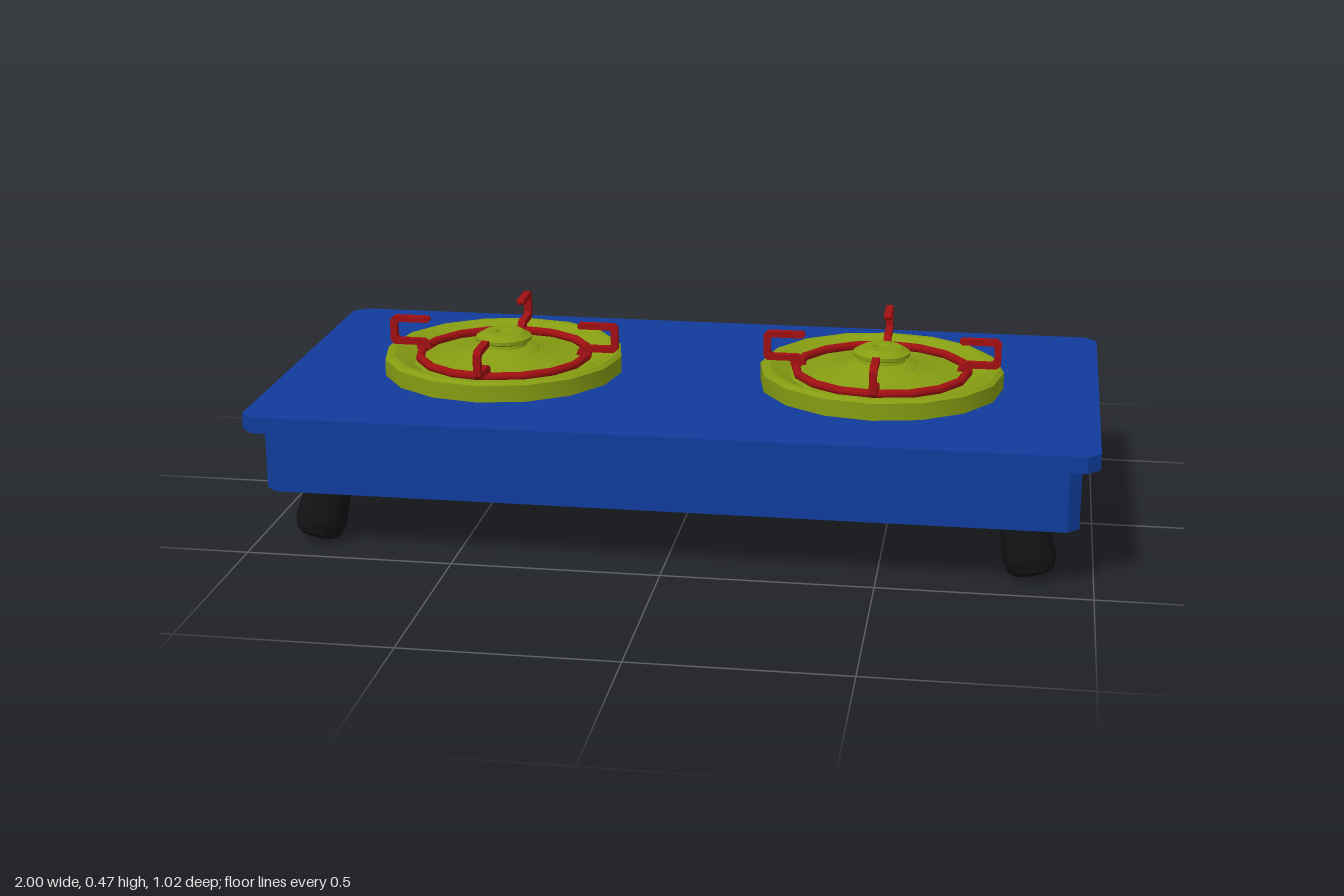
import * as THREE from 'three';
import { toCreasedNormals } from 'three/addons/utils/BufferGeometryUtils.js';

const paint = (color) => new THREE.MeshStandardMaterial({ color, side: THREE.DoubleSide });
const blue = paint(0x113c9c);
const green = paint(0x869c12);
const red = paint(0xa01012);
const magenta = paint(0xa81066);
const black = paint(0x111214);

function part(name, geometry, material) {
  const mesh = new THREE.Mesh(geometry, material);
  mesh.name = name;
  return mesh;
}

// Flat slab with cut corners, between heights y0 and y1
function slab(halfX, halfZ, cut, y0, y1) {
  const shape = new THREE.Shape([
    [halfX - cut, -halfZ], [halfX, -halfZ + cut], [halfX, halfZ - cut], [halfX - cut, halfZ],
    [-halfX + cut, halfZ], [-halfX, halfZ - cut], [-halfX, -halfZ + cut], [-halfX + cut, -halfZ],
  ].map(([x, y]) => new THREE.Vector2(x, y)));
  return new THREE.ExtrudeGeometry(shape, { depth: y1 - y0, bevelEnabled: false })
    .rotateX(-Math.PI / 2).translate(0, y0, 0.02);
}

// Turned part from [radius, height] pairs, listed bottom to top
function turned(points, sides) {
  const profile = points.map(([r, y]) => new THREE.Vector2(r, y));
  return toCreasedNormals(new THREE.LatheGeometry(profile, sides), 0.42);
}

// C-shaped pan support lying in the radius/height plane
function supportGeometry() {
  const w = 0.018;
  const shape = new THREE.Shape([
    [0.185, 0.385], [0.222, 0.385], [0.222, 0.394], [0.28, 0.394], [0.29, 0.404],
    [0.29, 0.457], [0.28, 0.467], [0.194, 0.467], [0.189, 0.462], [0.189, 0.457],
    [0.194, 0.452], [0.268, 0.452], [0.273, 0.447], [0.273, 0.414], [0.268, 0.409],
    [0.205, 0.409], [0.19, 0.4],
  ].map(([x, y]) => new THREE.Vector2(x, y)));
  return new THREE.ExtrudeGeometry(shape, { depth: w, bevelEnabled: false }).translate(0, 0, -w / 2);
}

function createBurner() {
  const burner = new THREE.Group();
  burner.name = 'burner';

  // Shallow dish with a raised rim
  burner.add(part('dish', turned([
    [0.298, 0.34], [0.298, 0.384], [0.288, 0.392], [0.275, 0.392],
    [0.225, 0.368], [0.14, 0.374], [0.09, 0.392],
  ], 16), green));

  // Stepped cap with a small dimple
  burner.add(part('cap', turned([
    [0.09, 0.392], [0.082, 0.398], [0.058, 0.404], [0.056, 0.412], [0.07, 0.418],
    [0.07, 0.426], [0.048, 0.439], [0.022, 0.439], [0.016, 0.432], [0, 0.432],
  ], 20), green));

  // Support ring and four arms
  burner.add(part('supportRing',
    new THREE.TorusGeometry(0.211, 0.011, 8, 16).rotateX(Math.PI / 2).translate(0, 0.381, 0), red));
  const arm = supportGeometry();
  for (let i = 0; i < 4; i++) {
    const support = part('panSupport', arm, red);
    support.rotation.y = i * Math.PI / 2;
    burner.add(support);
  }
  return burner;
}

export function createModel() {
  const stove = new THREE.Group();
  stove.name = 'stove';
  stove.add(part('body', slab(0.96, 0.45, 0.028, 0.147, 0.306), blue));
  stove.add(part('topPlate', slab(1, 0.49, 0.03, 0.304, 0.343), blue));

  // Leg profile, thicker at the rounded foot
  const legGeometry = turned([
    [0, 0], [0.038, 0], [0.052, 0.008], [0.062, 0.035], [0.062, 0.045], [0.052, 0.165], [0, 0.165],
  ], 16);
  // Knob pointing backwards, with a bevelled face
  const knobGeometry = turned([
    [0, 0], [0.062, 0], [0.062, 0.055], [0.046, 0.077], [0, 0.077],
  ], 20).rotateX(-Math.PI / 2);

  for (const side of [-1, 1]) {
    const burner = createBurner();
    burner.position.set(side * 0.472, 0, 0.02);
    stove.add(burner);

    const knob = part('knob', knobGeometry, magenta);
    knob.position.set(side * 0.47, 0.223, -0.429);
    stove.add(knob);

    // Splayed legs
    for (const end of [-1, 1]) {
      const leg = part(end > 0 ? 'frontLeg' : 'backLeg', legGeometry, black);
      const direction = new THREE.Vector3(-side * 0.22, 1, -end * 0.25).normalize();
      leg.quaternion.setFromUnitVectors(new THREE.Vector3(0, 1, 0), direction);
      leg.position.set(side * 0.859, 0.011, 0.02 + end * 0.37);
      stove.add(leg);
    }
  }
  return stove;
}
